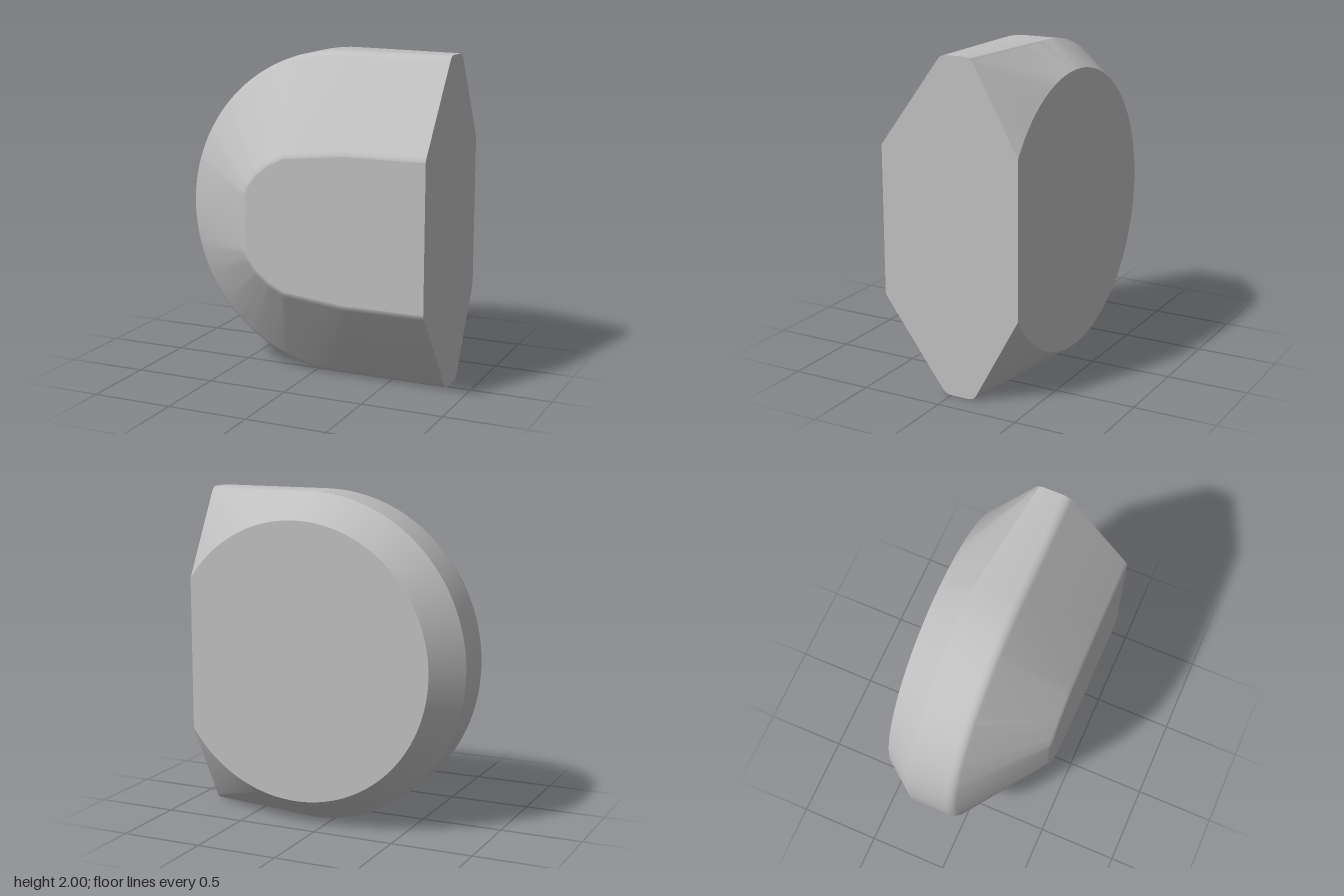
import * as THREE from 'three';
import { toCreasedNormals } from 'three/addons/utils/BufferGeometryUtils.js';

const CX = 0.147, END = 0.853, BACK_R = 0.846, DEPTH = 0.442;
const lerp = THREE.MathUtils.lerp;

// Rounded corner of the raised front face: [outline angle, x, half height]
const corner = [[90, 0.35, 0.44], [110, -0.03, 0.4], [125, -0.12, 0.355], [140, -0.2, 0.295],
  [153, -0.26, 0.22], [163, -0.28, 0.17], [180, -0.28, 0]];

function frontCorner(deg) {
  let k = 0;
  while (k < corner.length - 2 && deg > corner[k + 1][0]) k++;
  const [a0, x0, y0] = corner[k], [a1, x1, y1] = corner[k + 1];
  const t = (deg - a0) / (a1 - a0);
  return [lerp(x0, x1, t), lerp(y0, y1, t)];
}

// Upper half of the D outline, each station matched to the front face and the round back
function makeStations() {
  const list = [];
  const backPoint = x => [x, Math.sqrt(BACK_R ** 2 - (x - CX) ** 2)];
  const joint = 0.4;
  for (let i = 0; i < 16; i++) {
    list.push({ o: [END, 1], f: [END, 0.44], b: backPoint(lerp(END, joint, i / 16)) });
  }
  for (let i = 0; i < 12; i++) {
    const t = i / 12;
    list.push({ o: [lerp(END, CX, t), 1], f: [lerp(END, 0.35, t), 0.44], b: backPoint(lerp(joint, CX, t)) });
  }
  for (let i = 0; i <= 45; i++) {
    const deg = 90 + i * 2, a = THREE.MathUtils.degToRad(deg);
    const c = Math.cos(a), s = Math.sin(a);
    list.push({ o: [CX + c, s], f: frontCorner(deg), b: [CX + BACK_R * c, BACK_R * s] });
  }
  return list;
}

// Front bevel with a soft edge at each end: [z, blend from outline to front face]
const frontRings = [[DEPTH, 1], [0.4405, 0.988], [0.437, 0.97], [0.425, 0.94],
  [0.06, 0.055], [0.05, 0.034], [0.04, 0.019], [0.02, 0.004], [0, 0]];

// One station's profile from front to back
function profile({ o, f, b }) {
  const p = frontRings.map(([z, t]) => [lerp(o[0], f[0], t), lerp(o[1], f[1], t), z]);
  // The back edge sweeps forward and softens toward the cut end
  const k = Math.max(0, (o[0] - 0.1) / (END - 0.1));
  const z = -0.243 + 0.123 * k;
  p.push([o[0], o[1], z], [o[0], o[1] - 0.007 * k, z - 0.025 * k],
    [o[0], o[1] - 0.028 * k, z - 0.045 * k], [b[0], b[1], -DEPTH]);
  return p;
}

// Build a surface from a grid of points
function gridGeometry(rows, flip) {
  const pos = [];
  for (let i = 0; i < rows.length - 1; i++) {
    for (let j = 0; j < rows[i].length - 1; j++) {
      const a = rows[i][j], b = rows[i + 1][j], c = rows[i][j + 1], d = rows[i + 1][j + 1];
      const quad = flip ? [a, b, c, b, d, c] : [a, c, b, b, c, d];
      for (const v of quad) pos.push(v[0], v[1] + 1, v[2]);
    }
  }
  const g = new THREE.BufferGeometry();
  g.setAttribute('position', new THREE.Float32BufferAttribute(pos, 3));
  g.computeVertexNormals();
  return g;
}

export function createModel() {
  const group = new THREE.Group();
  const grey = new THREE.MeshStandardMaterial({ color: 0xc0c0c0 });
  grey.name = 'light grey';
  const add = (name, geometry) => {
    const mesh = new THREE.Mesh(geometry, grey);
    mesh.name = name;
    group.add(mesh);
  };

  const upper = makeStations().map(profile);
  const mirror = p => [p[0], -p[1], p[2]];
  const lower = upper.map(col => col.map(mirror));
  const around = [...upper, ...lower.slice(0, -1).reverse()];
  const last = upper[0].length - 1;

  // Bevelled rim around the D outline
  add('rim', toCreasedNormals(gridGeometry(around, false), 0.5));
  // Flat faces span from the upper half to its mirror image
  const span = j => upper.map(col => [col[j], mirror(col[j])]);
  add('frontFace', gridGeometry(span(0), true));
  add('backFace', gridGeometry(span(last), false));
  add('cutEnd', gridGeometry(upper[0].map(p => [p, mirror(p)]), false));

  return group;
}
